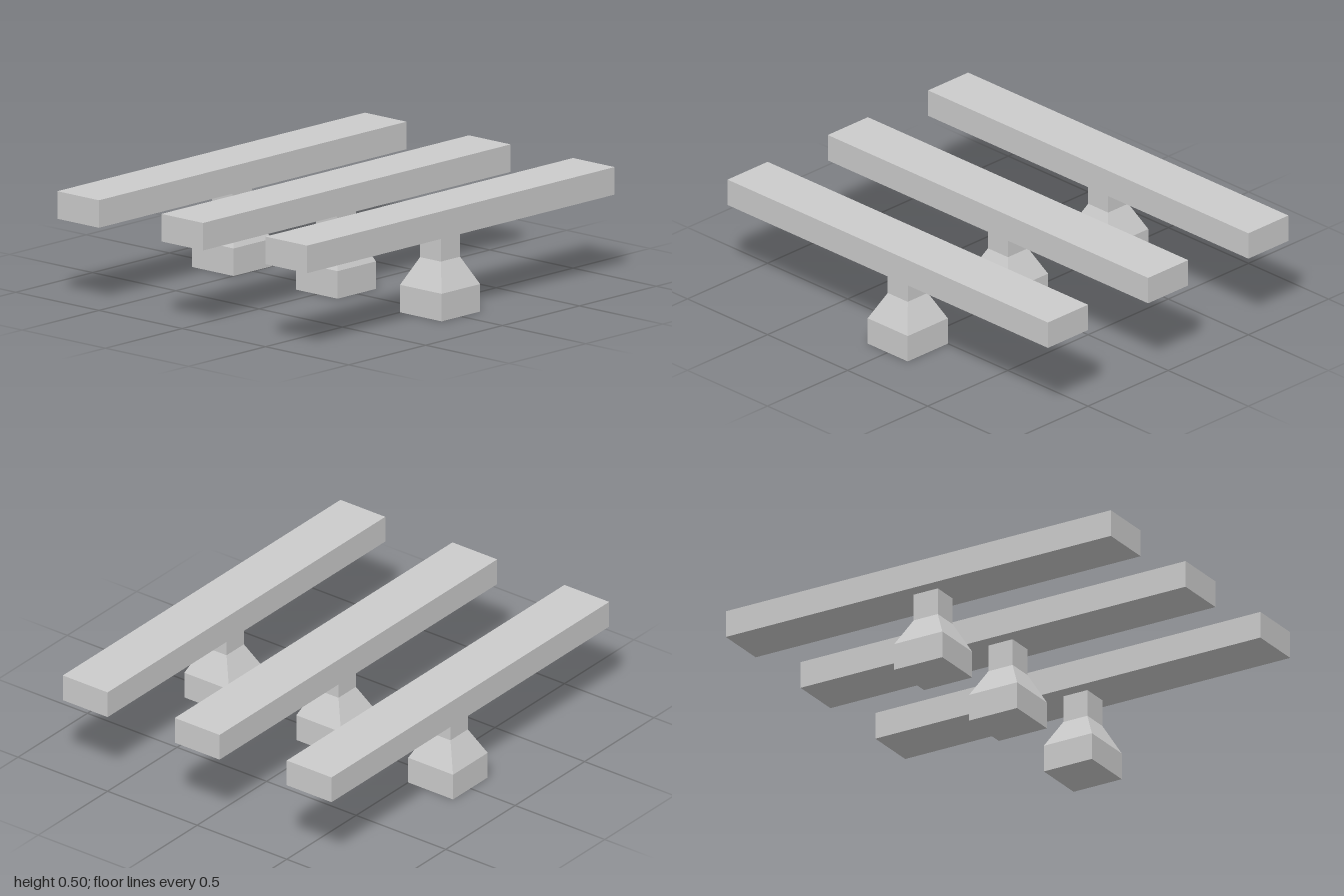
import * as THREE from 'three';

export function createModel() {
  const model = new THREE.Group();
  const material = new THREE.MeshStandardMaterial({ color: 0xcccccc, flatShading: true });

  // Square pedestal profile as [half width, height], from the base up to the beam
  const profile = [[0, 0], [0.125, 0], [0.125, 0.125], [0.0625, 0.25], [0.0625, 0.375]]
    .map(([half, y]) => new THREE.Vector2(half * Math.SQRT2, y));
  const pedestalGeometry = new THREE.LatheGeometry(profile, 4, Math.PI / 4);

  // Long plank resting on the pedestal
  const beamGeometry = new THREE.BoxGeometry(2, 0.125, 0.25);

  // Three identical benches in a row, front to back
  ['front', 'middle', 'back'].forEach((place, i) => {
    const bench = new THREE.Group();
    bench.name = `${place}Bench`;
    bench.position.z = 0.625 * (1 - i);

    const pedestal = new THREE.Mesh(pedestalGeometry, material);
    pedestal.name = 'pedestal';

    const beam = new THREE.Mesh(beamGeometry, material);
    beam.name = 'beam';
    beam.position.y = 0.4375;

    bench.add(pedestal, beam);
    model.add(bench);
  });

  return model;
}
